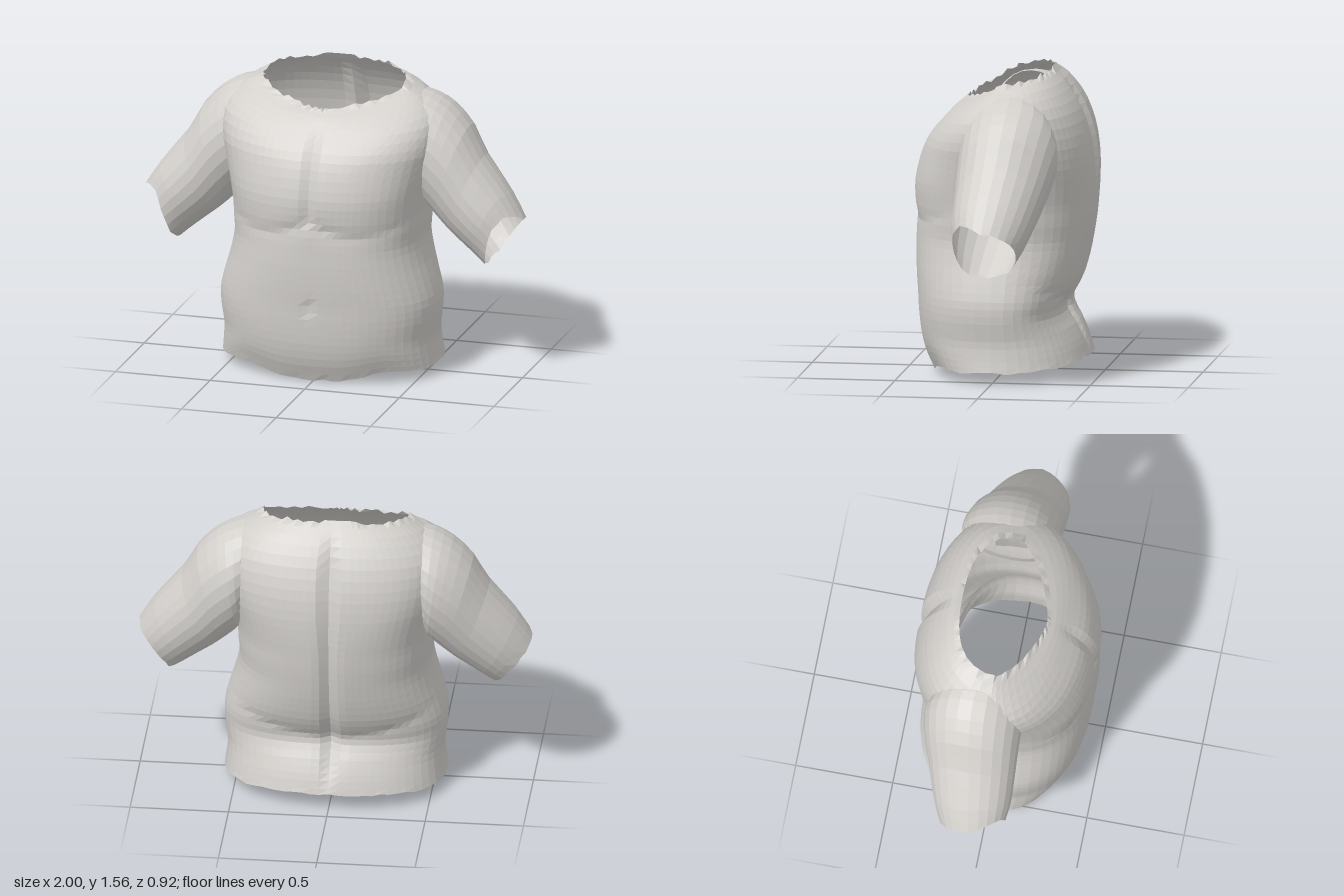
import * as THREE from 'three';

const cloth = new THREE.MeshStandardMaterial({ color: 0xd2cfcb, flatShading: true, side: THREE.DoubleSide });
cloth.name = 'warm grey';

// Small repeatable noise for ragged edges
let seed = 7;
const rand = () => ((seed = (seed * 16807) % 2147483647) / 2147483647) - 0.5;

// Smoothly interpolated row of a section table, t from 0 to 1
function sample(rows, t) {
  const f = t * (rows.length - 1);
  const i = Math.min(Math.floor(f), rows.length - 2);
  const k = f - i;
  const at = (j) => rows[Math.max(0, Math.min(rows.length - 1, j))];
  return rows[i].map((_, c) => {
    const [a, b, d, e] = [at(i - 1)[c], at(i)[c], at(i + 1)[c], at(i + 2)[c]];
    return b + 0.5 * k * (d - a + k * (2 * a - 5 * b + 4 * d - e + k * (3 * (b - d) + e - a)));
  });
}

// Open tube through rings of points; skip(centre) leaves holes
function loft(name, rings, cols, point, skip = () => false, flip = false) {
  const pos = [];
  const idx = [];
  const pts = [];
  for (let r = 0; r <= rings; r++) {
    for (let c = 0; c < cols; c++) {
      const p = point(r / rings, (c / cols) * Math.PI * 2);
      pts.push(p);
      pos.push(p.x, p.y, p.z);
    }
  }
  for (let r = 0; r < rings; r++) {
    for (let c = 0; c < cols; c++) {
      const n = (c + 1) % cols;
      const [a, b, d, e] = [r * cols + c, r * cols + n, (r + 1) * cols + n, (r + 1) * cols + c];
      const centre = pts[a].clone().add(pts[b]).add(pts[d]).add(pts[e]).multiplyScalar(0.25);
      if (skip(centre)) continue;
      if (flip) idx.push(a, d, b, a, e, d);
      else idx.push(a, b, d, a, d, e);
    }
  }
  const geo = new THREE.BufferGeometry();
  geo.setAttribute('position', new THREE.Float32BufferAttribute(pos, 3));
  geo.setIndex(idx);
  geo.computeVertexNormals();
  const mesh = new THREE.Mesh(geo, cloth);
  mesh.name = name;
  return mesh;
}

const power = (v, n) => Math.sign(v) * Math.pow(Math.abs(v), 2 / n);
const bell = (v, width) => Math.exp(-((v / width) ** 2));
const { smoothstep, lerp } = THREE.MathUtils;

// Body sections: height at front, side and back, half width, front z, back z, front and back squareness
const body = [
  [0.0, 0.05, 0.08, 0.565, 0.355, -0.43, 2.4, 2.4],
  [0.1, 0.12, 0.16, 0.555, 0.4, -0.405, 2.4, 2.4],
  [0.2, 0.2, 0.24, 0.55, 0.425, -0.37, 2.4, 2.4],
  [0.31, 0.31, 0.32, 0.565, 0.437, -0.33, 2.4, 2.4],
  [0.4, 0.4, 0.39, 0.565, 0.442, -0.35, 2.4, 2.4],
  [0.5, 0.5, 0.48, 0.54, 0.45, -0.385, 2.4, 2.4],
  [0.6, 0.6, 0.59, 0.51, 0.455, -0.415, 2.4, 2.4],
  [0.7, 0.7, 0.69, 0.49, 0.457, -0.435, 2.4, 2.4],
  [0.79, 0.79, 0.79, 0.495, 0.46, -0.45, 2.4, 2.4],
  [0.88, 0.88, 0.88, 0.5, 0.462, -0.458, 2.4, 2.4],
  [0.98, 0.98, 0.98, 0.515, 0.458, -0.462, 2.4, 2.5],
  [1.1, 1.1, 1.1, 0.545, 0.43, -0.457, 2.3, 2.6],
  [1.2, 1.22, 1.23, 0.57, 0.385, -0.435, 2.3, 2.6],
  [1.29, 1.34, 1.36, 0.56, 0.31, -0.385, 2.2, 2.6],
  [1.35, 1.43, 1.47, 0.48, 0.25, -0.31, 1.8, 2.6],
  [1.385, 1.485, 1.54, 0.37, 0.2, -0.235, 1.4, 2.5],
];

function bodyPoint(t, angle) {
  const [yf, ys, yb, w, zf, zb, nf, nb] = sample(body, t);
  const a = angle - 0.2 * Math.sin(2 * angle); // finer columns at front and back centre
  const s = Math.abs(Math.sin(a)) < 1e-6 ? 0 : Math.sin(a);
  const c = Math.cos(a);
  const front = c > 0;
  const n = front ? nf : nb;
  const x = w * power(s, n);
  const ax = Math.abs(x);
  const rise = front ? 1.5 : lerp(1.5, 0.7, smoothstep(t, 0.8, 1));
  let y = lerp(ys, front ? yf : yb, Math.pow(Math.abs(c), rise));
  let z = (front ? zf : -zb) * power(c, n);
  if (front) {
    // chest crease, breastbone groove, navel and raised corners of the hem
    const d = y - (0.79 + 1.2 * (ax - 0.25) ** 2);
    z -= 0.02 * c * Math.exp(d < 0 ? d / 0.07 : -d / 0.045);
    z -= 0.018 * bell(ax, 0.03) * smoothstep(y, 0.78, 0.95) * (1 - smoothstep(y, 1.2, 1.36));
    z -= 0.01 * bell(ax, 0.03) * bell(y - 0.4, 0.04);
    y += 0.04 * bell(ax - 0.36, 0.14) * (1 - smoothstep(t, 0, 0.2));
  } else {
    // back fold rising to the sides, and spine groove
    const d = y - (0.36 + 0.5 * ax * ax);
    z += 0.02 * -c * Math.exp(d < 0 ? d / 0.06 : -d / 0.055);
    z += 0.035 * bell(ax, 0.035) * smoothstep(y, 0.08, 0.3) * (1 - smoothstep(y, 1.3, 1.54));
  }
  // ragged neck and hem
  if (t === 1) y += 0.025 * rand();
  if (t === 0) y += 0.012 * rand();
  return new THREE.Vector3(x, y, z);
}

// Sleeve sections: top x, y, underside x, y, front z, back z
const sleeve = [
  [0.39, 1.455, 0.44, 1.02, 0.12, -0.24],
  [0.45, 1.455, 0.455, 0.95, 0.155, -0.31],
  [0.53, 1.43, 0.47, 0.89, 0.165, -0.335],
  [0.61, 1.38, 0.5, 0.85, 0.165, -0.33],
  [0.7, 1.285, 0.545, 0.805, 0.165, -0.31],
  [0.77, 1.155, 0.61, 0.745, 0.165, -0.28],
  [0.86, 1.04, 0.68, 0.69, 0.165, -0.25],
  [0.935, 0.94, 0.75, 0.635, 0.16, -0.22],
  [1.0, 0.835, 0.81, 0.585, 0.15, -0.18],
];

function sleevePoint(side) {
  return (t, a) => {
    const [tx, ty, bx, by, zf, zb] = sample(sleeve, t);
    const k = 0.5 + 0.5 * power(Math.cos(a), 2);
    const z = (zf + zb) / 2 + ((zf - zb) / 2) * power(Math.sin(a), 2.1);
    // cuff is cut back towards the upper front, with a slightly uneven edge
    const cut = 0.11 * smoothstep(t, 0.75, 1) * k * Math.max(0, Math.sin(a)) + (t === 1 ? 0.012 * rand() : 0);
    return new THREE.Vector3(side * (bx + (tx - bx) * k - cut * 0.7), by + (ty - by) * k + cut, z);
  };
}

export function createModel() {
  const group = new THREE.Group();
  group.name = 'shirtTorso';

  // Torso with openings where the sleeves join
  const armhole = (p) => Math.abs(p.x) > 0.46 && ((p.y - 1.18) / 0.2) ** 2 + ((p.z + 0.07) / 0.19) ** 2 < 1;
  group.add(loft('torso', 36, 64, bodyPoint, armhole));

  // Sleeves
  for (const side of [1, -1]) {
    group.add(loft(side > 0 ? 'leftSleeve' : 'rightSleeve', 14, 24, sleevePoint(side), undefined, side > 0));
  }
  return group;
}
